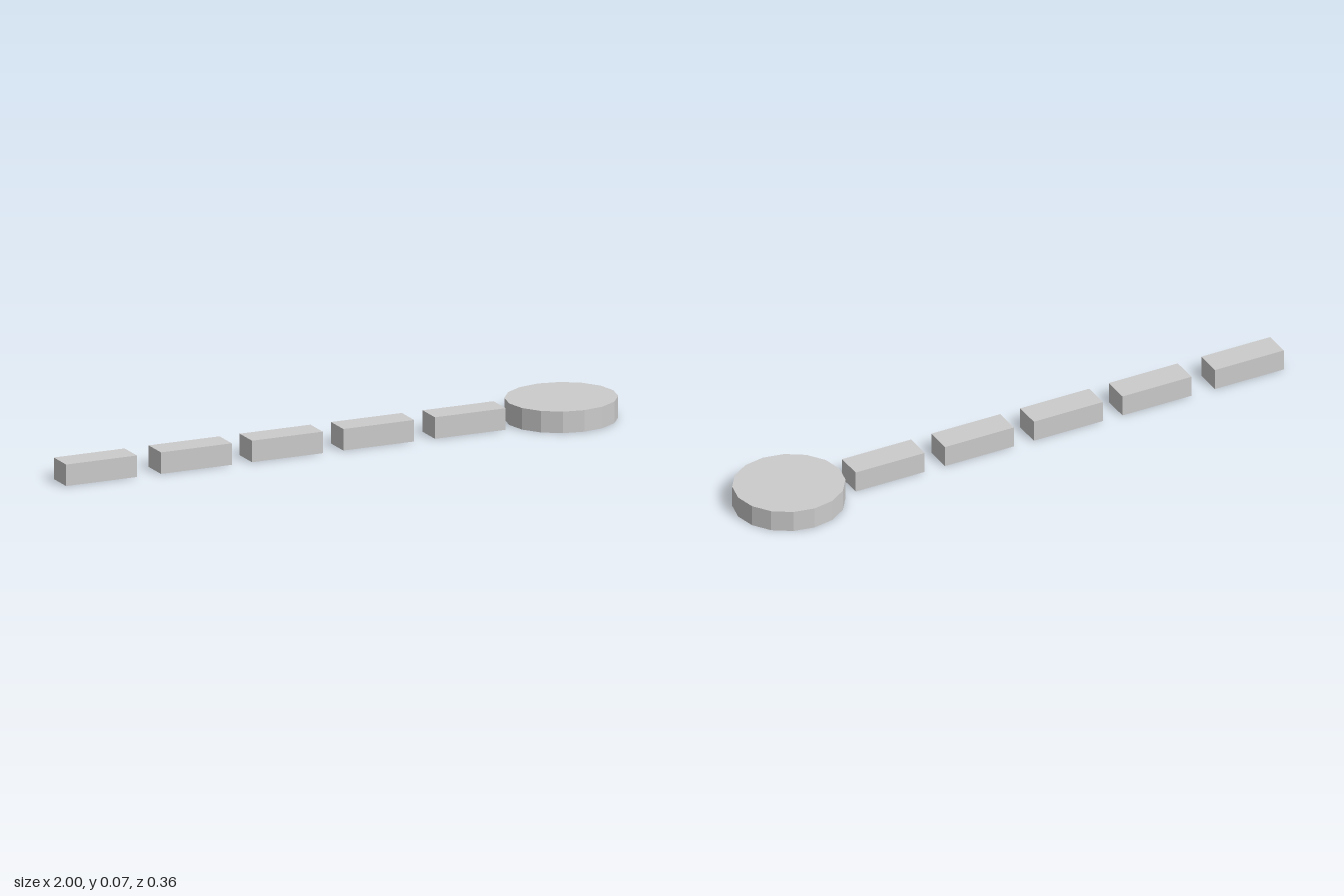
import * as THREE from 'three';

export function createModel() {
  const group = new THREE.Group();
  const material = new THREE.MeshStandardMaterial({ color: 0xcccccc, flatShading: true });
  const height = 0.073;

  const add = (name, geometry, x) => {
    const mesh = new THREE.Mesh(geometry, material);
    mesh.name = name;
    mesh.position.set(x, height / 2, 0);
    group.add(mesh);
  };

  // Row of five separate bars, slightly unevenly spaced
  const bar = new THREE.BoxGeometry(0.256, height, 0.094);
  [-0.872, -0.529, -0.2, 0.13, 0.461].forEach((x, i) => add(`bar${i + 1}`, bar, x));

  // Sixteen-sided disc at the end, a little wider along x
  const disc = new THREE.CylinderGeometry(0.178, 0.178, height, 16);
  disc.scale(0.188 / 0.178, 1, 1);
  add('endDisc', disc, 0.812);

  return group;
}
